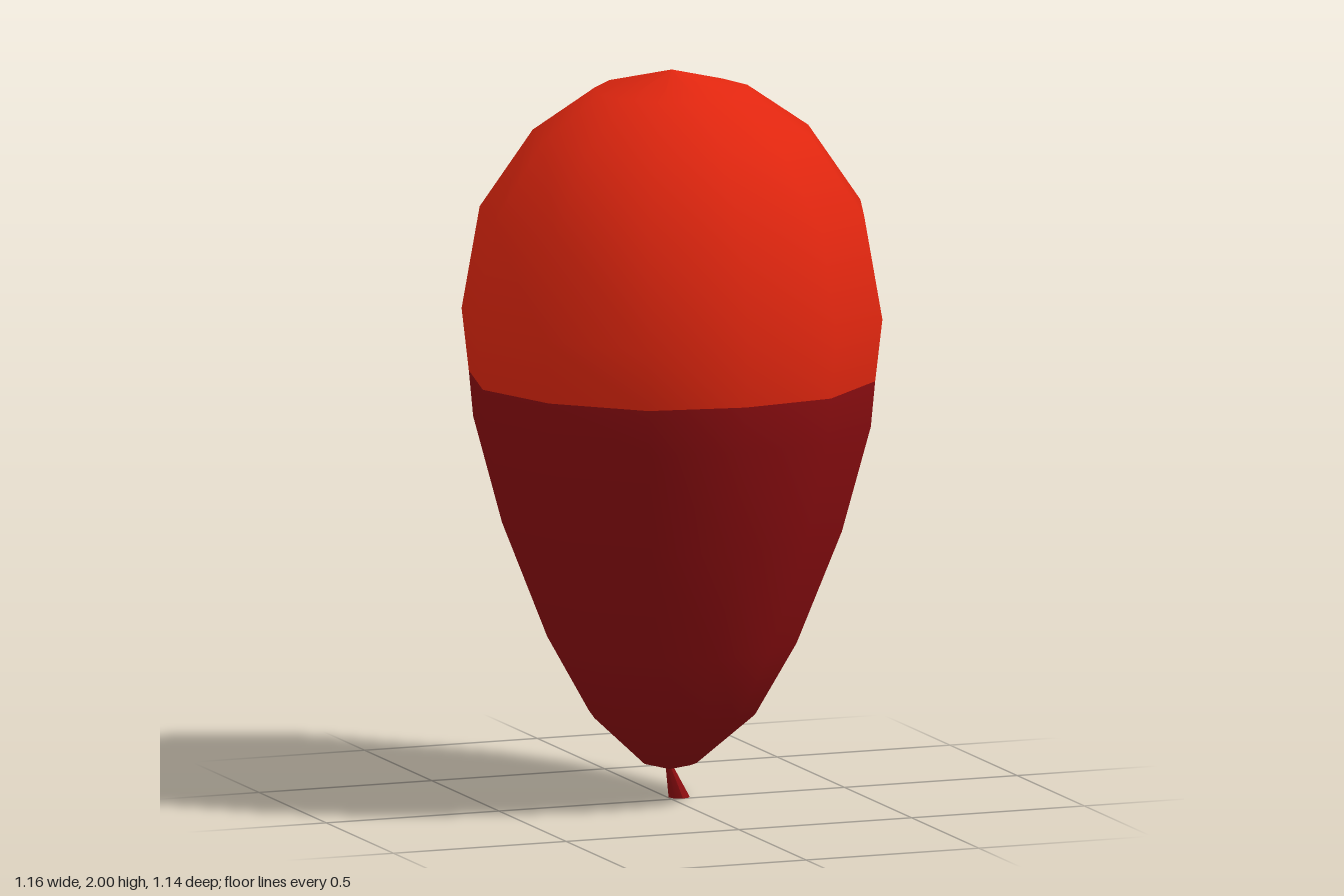
import * as THREE from 'three';

// Half of the slightly uneven twelve-sided section, front to back (x, z), for radius 1
const HALF = [[0, 0.98], [0.47, 0.9], [0.84, 0.535], [1, 0.07], [0.87, -0.45], [0.51, -0.87], [0, -0.98]];
const SECTION = [...HALF, ...HALF.slice(0, -1).reverse().map(([x, z]) => [-x, z])];

// Smooth lathe whose rings follow the uneven section
function shell(name, profile, material) {
  const points = profile.map(([r, y]) => new THREE.Vector2(r, y));
  const geometry = new THREE.LatheGeometry(points, 12);
  const pos = geometry.attributes.position;
  SECTION.forEach(([x, z], i) => {
    points.forEach((p, j) => {
      const shift = p.y < 0.15 ? -0.015 : 0; // the neck sits a little behind centre
      pos.setXYZ(i * points.length + j, x * p.x, p.y, z * p.x + shift);
    });
  });
  const mesh = new THREE.Mesh(geometry, material);
  mesh.name = name;
  return mesh;
}

export function createModel() {
  const brightRed = new THREE.MeshStandardMaterial({ name: 'bright red', color: 0xe0260f });
  const darkRed = new THREE.MeshStandardMaterial({ name: 'dark red', color: 0x8c0d10 });
  const group = new THREE.Group();
  group.name = 'balloon';

  // Lower and upper halves of the balloon, profiles running upwards
  group.add(shell('lowerBalloon', [
    [0, 0.08], [0.075, 0.1], [0.23, 0.24], [0.345, 0.44],
    [0.47, 0.75], [0.55, 1.04], [0.562, 1.165],
  ], darkRed));
  group.add(shell('upperBalloon', [
    [0.562, 1.165], [0.582, 1.335], [0.532, 1.615],
    [0.385, 1.828], [0.213, 1.947], [0, 2],
  ], brightRed));

  // Flared, leaning knot
  const knotGeometry = new THREE.CylinderGeometry(0.01, 0.03, 0.09, 8);
  const pos = knotGeometry.attributes.position;
  for (let i = 0; i < pos.count; i++) {
    const down = 0.5 - pos.getY(i) / 0.09;
    pos.setX(i, pos.getX(i) + 0.032 * down);
    pos.setZ(i, pos.getZ(i) - 0.02 - 0.008 * down);
  }
  knotGeometry.translate(0, 0.045, 0);
  knotGeometry.computeVertexNormals();
  const knot = new THREE.Mesh(knotGeometry, darkRed);
  knot.name = 'knot';
  group.add(knot);

  return group;
}
